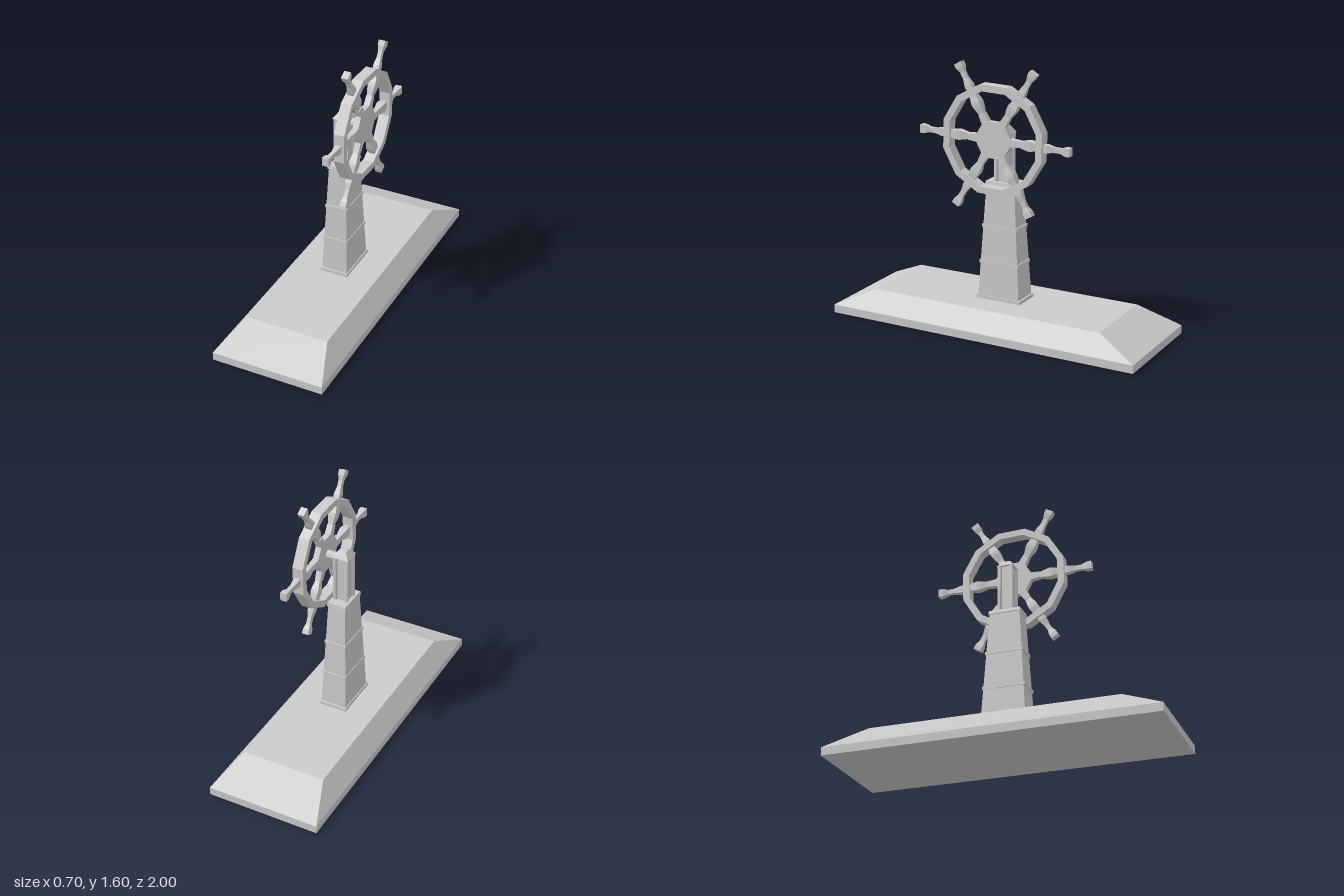
import * as THREE from 'three';

const mat = new THREE.MeshStandardMaterial({ color: 0xcccccc, flatShading: true });

function add(parent, name, geometry) {
  const mesh = new THREE.Mesh(geometry, mat);
  mesh.name = name;
  parent.add(mesh);
  return mesh;
}

// Box from y0 to y1 whose half sizes change from (x0, z0) to (x1, z1)
function frustum(y0, y1, x0, z0, x1, z1) {
  const g = new THREE.BoxGeometry(2, 1, 2);
  const p = g.attributes.position;
  for (let i = 0; i < p.count; i++) {
    const top = p.getY(i) > 0;
    p.setXYZ(i, p.getX(i) * (top ? x1 : x0), top ? y1 : y0, p.getZ(i) * (top ? z1 : z0));
  }
  g.computeVertexNormals();
  return g;
}

const ring = (r, n, start) => Array.from({ length: n }, (_, i) => {
  const a = start + (i / n) * Math.PI * 2;
  return new THREE.Vector2(Math.cos(a) * r, Math.sin(a) * r);
});

// Extrusion centred on x = 0, with its outline in the zy plane
function plate(shape, depth) {
  return new THREE.ExtrudeGeometry(shape, { depth, bevelEnabled: false })
    .translate(0, 0, -depth / 2).rotateY(Math.PI / 2);
}

export function createModel() {
  const model = new THREE.Group();
  model.name = 'wheelOnPedestal';

  // Base slab with sloped edges
  add(model, 'baseSlab', frustum(0, 0.05, 0.35, 1, 0.35, 1));
  add(model, 'baseSlope', frustum(0.05, 0.165, 0.35, 1, 0.26, 0.75));

  // Tapered pedestal with foot, bands and cap
  add(model, 'pedestalFoot', frustum(0.165, 0.185, 0.088, 0.148, 0.088, 0.148));
  add(model, 'pedestalColumn', frustum(0.185, 0.87, 0.082, 0.136, 0.055, 0.093));
  add(model, 'lowerBand', frustum(0.385, 0.405, 0.078, 0.13, 0.077, 0.129));
  add(model, 'upperBand', frustum(0.608, 0.625, 0.07, 0.117, 0.069, 0.116));
  add(model, 'pedestalCap', frustum(0.867, 0.89, 0.062, 0.1, 0.058, 0.096));

  // Post with a shallow groove down each side
  const post = [];
  for (let k = 0; k < 4; k++) {
    for (const [u, v] of [[0.047, -0.047], [0.047, -0.03], [0.037, -0.023], [0.037, 0.023], [0.047, 0.03]]) {
      post.push(new THREE.Vector2(u, v).rotateAround(new THREE.Vector2(), k * Math.PI / 2));
    }
  }
  add(model, 'post', new THREE.ExtrudeGeometry(new THREE.Shape(post), { depth: 0.29, bevelEnabled: false })
    .rotateX(-Math.PI / 2).translate(0, 0.89, 0));
  add(model, 'postCap', frustum(1.18, 1.22, 0.052, 0.052, 0.024, 0.024));

  // Axle
  add(model, 'axle', new THREE.CylinderGeometry(0.027, 0.027, 0.1, 8)
    .rotateZ(Math.PI / 2).translate(0.07, 1.157, 0));

  // Wheel, turned slightly about its axle
  const wheel = new THREE.Group();
  wheel.name = 'wheel';
  wheel.position.set(0.123, 1.162, 0);
  wheel.rotation.x = -0.028;
  model.add(wheel);

  // Twelve-sided rim
  const rim = new THREE.Shape(ring(0.334, 12, Math.PI / 12));
  rim.holes.push(new THREE.Path(ring(0.292, 12, Math.PI / 12)));
  add(wheel, 'rim', plate(rim, 0.066));

  // Star-shaped hub with an arm towards each spoke
  const hub = [];
  for (let k = 0; k < 6; k++) {
    for (const [u, v] of [[0.108, -0.035], [0.108, 0.035]]) {
      hub.push(new THREE.Vector2(u, v).rotateAround(new THREE.Vector2(), k * Math.PI / 3 + Math.PI / 6));
    }
    for (const v of [-0.019, 0.019]) {
      hub.push(new THREE.Vector2(0.165, v).rotateAround(new THREE.Vector2(), (k + 1) * Math.PI / 3));
    }
  }
  add(wheel, 'hub', plate(new THREE.Shape(hub), 0.036));

  // Square-section spokes ending in flared handles
  const profile = [
    [0, 0.08], [0.02, 0.08], [0.018, 0.17], [0.028, 0.22], [0.029, 0.24], [0.021, 0.285],
    [0.023, 0.345], [0.015, 0.39], [0.015, 0.43], [0.024, 0.46], [0.025, 0.49], [0, 0.49],
  ].map(([w, r]) => new THREE.Vector2(w * Math.SQRT2, r));
  const spoke = new THREE.LatheGeometry(profile, 4, Math.PI / 4).scale(0.8, 1, 1);
  for (let k = 0; k < 6; k++) {
    add(wheel, 'spoke', spoke).rotation.x = Math.PI / 6 + k * Math.PI / 3;
  }
  return model;
}
